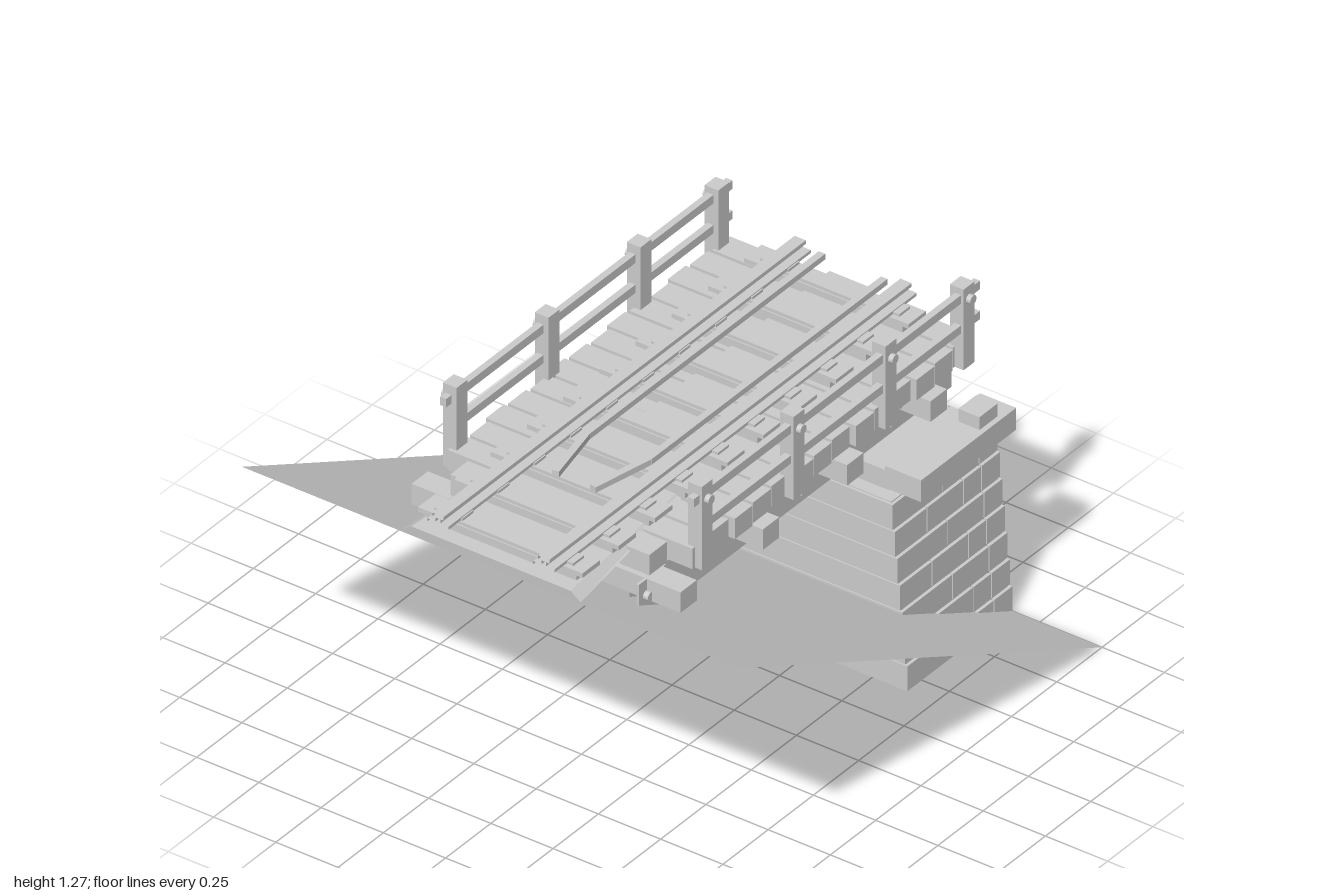
import * as THREE from 'three';

const grey = new THREE.MeshStandardMaterial({ color: 0xcccccc });
grey.name = 'plainGrey';
grey.side = THREE.DoubleSide;

export function createModel() {
  const model = new THREE.Group();
  model.name = 'railwayBridgeEnd';

  const group = (name) => {
    const g = new THREE.Group();
    g.name = name;
    model.add(g);
    return g;
  };
  const add = (parent, name, geo) => {
    const m = new THREE.Mesh(geo, grey);
    m.name = name;
    parent.add(m);
    return m;
  };
  // Box given by its limits; open boxes have no faces at the z ends
  const box = (parent, name, x0, x1, y0, y1, z0, z1, open = false) => {
    const geo = new THREE.BoxGeometry(Math.abs(x1 - x0), y1 - y0, z1 - z0);
    if (open) {
      geo.setIndex(Array.from(geo.index.array).slice(0, 24));
      geo.clearGroups();
    }
    const m = add(parent, name, geo);
    m.position.set((x0 + x1) / 2, (y0 + y1) / 2, (z0 + z1) / 2);
    return m;
  };
  // Faces between cross-sections that have equal point counts
  const loft = (sections) => {
    const n = sections[0].length;
    const index = [];
    for (let s = 0; s < sections.length - 1; s++)
      for (let i = 0; i < n - 1; i++) {
        const a = s * n + i, b = a + n;
        index.push(a, a + 1, b, a + 1, b + 1, b);
      }
    let geo = new THREE.BufferGeometry();
    geo.setAttribute('position', new THREE.Float32BufferAttribute(sections.flat(2), 3));
    geo.setIndex(index);
    geo = geo.toNonIndexed();
    geo.computeVertexNormals();
    return geo;
  };

  // Sloping ground sheet, low at the back and high at the front
  add(model, 'slopingGround', loft([
    [[-1, 0, -1], [-1, 1, 1]],
    [[1, 0, -1], [1, 1, 1]],
  ]));

  // Earth bank under the track at the front
  add(model, 'trackBank', loft([
    [[-0.36, 1.005, 1], [-0.32, 1.035, 1], [0.32, 1.035, 1], [0.36, 1.005, 1]],
    [[-0.27, 1.03, 0.2], [-0.25, 1.035, 0.2], [0.25, 1.035, 0.2], [0.27, 1.03, 0.2]],
  ]));

  // Stone abutment: tapering courses in running bond
  const abutment = group('stoneAbutment');
  const gap = 0.005;
  for (let c = 0; c < 7; c++) {
    const w = 0.64 - c * 0.01;
    const y0 = c * 0.101, y1 = y0 + 0.097;
    const shift = (c % 2) * 0.5;
    box(abutment, 'courseCore', -w + 0.012, w - 0.012, y0, y0 + 0.101, -0.988, -0.43);
    box(abutment, 'frontCourse', -w, w, y0, y1, -0.5, -0.42);
    // Back stones
    const bw = (2 * w) / 6;
    for (let i = 0; i <= 6; i++) {
      const a = Math.max(-w, -w + (i - shift) * bw), b = Math.min(w, -w + (i + 1 - shift) * bw);
      if (b - a > 0.02) box(abutment, 'backStone', a + (i ? gap : 0), b, y0, y1, -1, -0.9);
    }
    // Side stones
    const sl = 0.4 / 2;
    for (let i = 0; i <= 2; i++) {
      const a = Math.max(-0.9, -0.9 + (i - shift) * sl), b = Math.min(-0.5, -0.9 + (i + 1 - shift) * sl);
      if (b - a < 0.02) continue;
      for (const s of [-1, 1])
        box(abutment, 'sideStone', s * (w - 0.1), s * w, y0, y1, a + gap, b);
    }
  }
  box(abutment, 'bearingSeat', -0.52, 0.52, 0.705, 0.78, -0.75, -0.48);
  for (const s of [-1, 1]) {
    box(abutment, 'capStone', s * 0.51, s * 0.655, 0.715, 0.8, -1, -0.475);
    box(abutment, 'cornerStone', s * 0.55, s * 0.635, 0.8, 0.85, -0.925, -0.825);
  }

  // Lengthwise girders
  const girders = group('girders');
  for (const x of [-0.36, -0.12, 0.12, 0.36])
    box(girders, 'girder', x - 0.035, x + 0.035, 0.78, 0.95, -1, 0.68, true);

  // Cross beams with bolted side plates
  const beams = group('crossBeams');
  const bolt = (parent, x, y, z, r, length, alongX) => {
    const m = add(parent, 'bolt', new THREE.CylinderGeometry(r, r, length, 10));
    m.position.set(x, y, z);
    if (alongX) m.rotation.z = Math.PI / 2;
    else m.rotation.x = Math.PI / 2;
  };
  for (const z of [0.65, 0.195, -0.27, -0.73])
    box(beams, 'crossBeam', -0.54, 0.54, 0.87, 0.95, z - 0.045, z + 0.045);
  for (const [z, bolts] of [[0.665, [0.7]], [-0.237, [-0.2]], [-0.73, [-0.695, -0.77]]])
    for (const s of [-1, 1]) {
      box(beams, 'sidePlate', s * 0.395, s * 0.405, 0.81, 0.95, z - 0.075, z + 0.075);
      for (const bz of bolts) bolt(beams, s * 0.41, 0.89, bz, 0.018, 0.03, true);
    }

  // Deck planks
  const deck = group('deck');
  for (let i = 0; i < 15; i++) {
    const z = 0.625 - i * 0.1115;
    const w = i === 0 ? 0.4 : 0.5 - (i % 3) * 0.008;
    box(deck, 'deckPlank', -w, w, 0.95, 1.03, Math.max(-1, z - 0.049), z + 0.049);
  }
  box(deck, 'walkBoard', -0.095, 0.095, 1.03, 1.04, -1, 0.05);

  // Sleepers with rail chairs
  const track = group('track');
  for (let i = 0; i < 10; i++) {
    const z = 0.9 - i * 0.2;
    box(track, 'sleeper', -0.3, 0.3, 1.03, 1.065, z - 0.04, z + 0.04);
    box(track, 'sleeperTop', -0.2, 0.2, 1.065, 1.078, z - 0.035, z + 0.035);
    for (const s of [-1, 1]) {
      box(track, 'sleeperEnd', s * 0.2, s * 0.33, 1.06, 1.078, z - 0.048, z + 0.048);
      box(track, 'railChair', s * 0.165, s * 0.28, 1.078, 1.088, z - 0.03, z + 0.03);
    }
  }

  // Running rails: foot, web and head
  for (const s of [-1, 1]) {
    box(track, 'railFoot', s * 0.17, s * 0.255, 1.08, 1.092, -1, 1, true);
    box(track, 'railWeb', s * 0.203, s * 0.222, 1.092, 1.108, -1, 1, true);
    box(track, 'railHead', s * 0.19, s * 0.235, 1.108, 1.122, -1, 1, true);
    // Guard rail with its end bent inward
    box(track, 'guardRail', s * 0.112, s * 0.138, 1.078, 1.1, -1, 0.3);
    const bend = box(track, 'guardRailEnd', -0.013, 0.013, 1.078, 1.1, 0, 0.245);
    bend.position.set(s * 0.1, 1.089, 0.42);
    bend.rotation.y = -s * Math.atan2(0.05, 0.24);
  }

  // Handrails on both sides
  for (const s of [-1, 1]) {
    const rail = group(s > 0 ? 'leftHandrail' : 'rightHandrail');
    for (const z of [0.52, 0.013, -0.495, -0.925]) {
      box(rail, 'post', s * 0.465, s * 0.52, 0.95, z < -0.9 ? 1.265 : 1.275, z - 0.03, z + 0.03);
      for (const y of [1.215]) bolt(rail, s * 0.525, y, z, 0.018, 0.025, true);
    }
    box(rail, 'topRail', s * 0.485, s * 0.51, 1.207, 1.24, -1, 0.58);
    box(rail, 'lowerRail', s * 0.485, s * 0.51, 1.09, 1.122, -1, 0.545);
  }
  return model;
}
